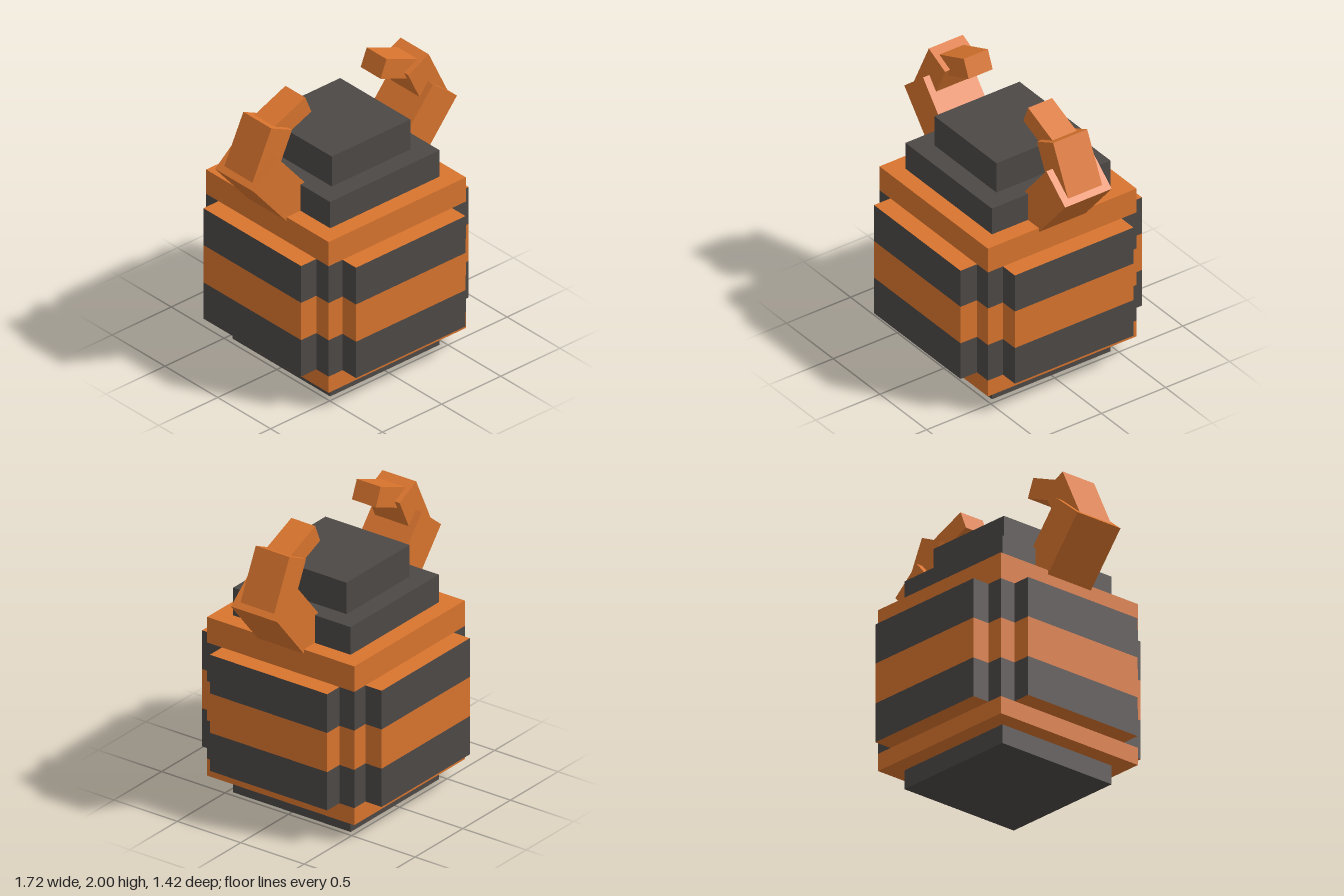
import * as THREE from 'three';

export function createModel() {
  const model = new THREE.Group();
  model.name = 'stripedPot';

  const orange = new THREE.MeshStandardMaterial({ color: 0xd8742e });
  orange.name = 'orange';
  const charcoal = new THREE.MeshStandardMaterial({ color: 0x4c4846 });
  charcoal.name = 'charcoal';

  // Square slab between two heights
  function slab(name, half, y0, y1, material) {
    const mesh = new THREE.Mesh(new THREE.BoxGeometry(half * 2, y1 - y0, half * 2), material);
    mesh.position.y = (y0 + y1) / 2;
    mesh.name = name;
    model.add(mesh);
  }
  slab('base', 0.463, 0, 0.13, charcoal);
  slab('lowerRim', 0.58, 0.13, 0.25, orange);
  slab('upperRim', 0.58, 1.07, 1.25, orange);
  slab('shoulder', 0.463, 1.25, 1.445, charcoal);
  slab('lid', 0.332, 1.445, 1.667, charcoal);

  // Body outline: a square core with a raised panel on each side
  const p = 0.463, c = 0.58, r = 0.708;
  const quarter = [[r, -p], [r, p], [c, p], [c, c], [p, c]];
  const outline = [];
  for (let i = 0; i < 4; i++) {
    const origin = new THREE.Vector2();
    for (const [x, y] of quarter) {
      outline.push(new THREE.Vector2(x, y).rotateAround(origin, i * Math.PI / 2));
    }
  }
  const bodyShape = new THREE.Shape(outline);

  // Stacked stripes; panel tops and undersides are orange
  const bands = [
    ['lowerStripe', 0.25, 0.52, charcoal],
    ['middleStripe', 0.52, 0.797, orange],
    ['upperStripe', 0.797, 1.07, charcoal],
  ];
  for (const [name, y0, y1, side] of bands) {
    const geometry = new THREE.ExtrudeGeometry(bodyShape, { depth: y1 - y0, bevelEnabled: false });
    geometry.rotateX(-Math.PI / 2);
    const mesh = new THREE.Mesh(geometry, [orange, side]);
    mesh.position.y = y0;
    mesh.name = name;
    model.add(mesh);
  }

  // Horns: three boxes each; tip centre x, y, tilt, width, length, depth
  const segments = [
    ['hornRoot', 0.76, 1.64, -0.696, 0.262, 0.65, 0.364],
    ['hornMiddle', 0.578, 1.88, 0.445, 0.193, 0.39, 0.266],
    ['hornTip', 0.318, 1.938, 1.18, 0.135, 0.32, 0.188],
  ];
  for (const s of [1, -1]) {
    const horn = new THREE.Group();
    horn.name = s > 0 ? 'leftHorn' : 'rightHorn';
    for (const [name, x, y, tilt, width, length, depth] of segments) {
      const geometry = new THREE.BoxGeometry(width, length, depth);
      geometry.translate(0, -length / 2, 0);
      const mesh = new THREE.Mesh(geometry, orange);
      mesh.position.set(s * x, y, 0);
      mesh.rotation.z = s * tilt;
      mesh.name = name;
      horn.add(mesh);
    }
    model.add(horn);
  }

  return model;
}
